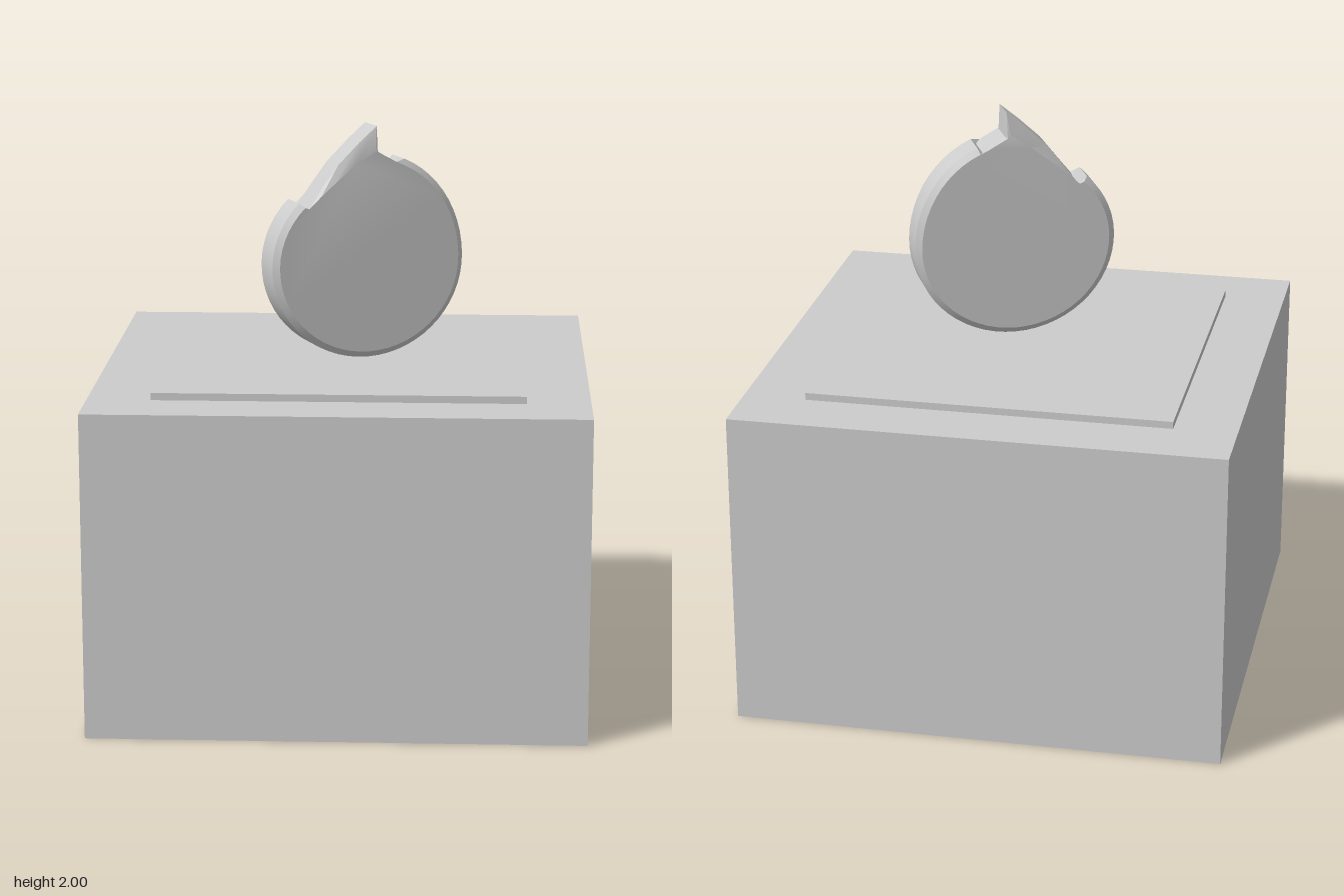
import * as THREE from 'three';
import { toCreasedNormals } from 'three/addons/utils/BufferGeometryUtils.js';

const material = new THREE.MeshStandardMaterial({ color: 0xcccccc });

function block(name, width, height, y) {
  const mesh = new THREE.Mesh(new THREE.BoxGeometry(width, height, width), material);
  mesh.name = name;
  mesh.position.y = y + height / 2;
  return mesh;
}

// Closed outline: notched flame top, then an elliptical belly, then the right notch
function outline(top, inset, right) {
  const points = top.map(([x, y]) => new THREE.Vector2(x, y));
  const start = 2.375, end = Math.PI * 2 + 1.185, steps = 48;
  for (let i = 0; i <= steps; i++) {
    const a = start + ((end - start) * i) / steps;
    const s = Math.sin(a);
    const ry = (s < 0 ? 0.34 : Math.cos(a) < 0 ? 0.325 : 0.388) - inset;
    points.push(new THREE.Vector2(0.025 + (0.362 - inset) * Math.cos(a), 1.52 + ry * s));
  }
  right.forEach(([x, y]) => points.push(new THREE.Vector2(x, y)));
  return points;
}

// Loft of face, wall, wall, face outlines, with flat caps
function flameGeometry() {
  const wall = outline(
    [[0.056, 2], [-0.01, 1.945], [-0.09, 1.87], [-0.149, 1.795], [-0.212, 1.71]],
    0, [[0.142, 1.86], [0.06, 1.91]]);
  const face = outline(
    [[0.047, 1.925], [-0.03, 1.87], [-0.1, 1.815], [-0.16, 1.765], [-0.205, 1.725]],
    0.022, [[0.125, 1.872], [0.055, 1.91]]);
  const layers = [[face, -0.07], [wall, -0.053], [wall, 0.053], [face, 0.07]];
  const n = wall.length, positions = [], index = [];
  for (const [points, z] of layers) for (const p of points) positions.push(p.x, p.y, z);
  for (let k = 0; k < 3; k++) {
    for (let i = 0; i < n; i++) {
      const a = k * n + i, b = k * n + ((i + 1) % n);
      index.push(a, b, b + n, a, b + n, a + n);
    }
  }
  for (const [a, b, c] of THREE.ShapeUtils.triangulateShape(face, [])) {
    index.push(a + 3 * n, b + 3 * n, c + 3 * n, a, c, b);
  }
  const geometry = new THREE.BufferGeometry();
  geometry.setAttribute('position', new THREE.Float32BufferAttribute(positions, 3));
  geometry.setIndex(index);
  return toCreasedNormals(geometry, 0.4);
}

export function createModel() {
  const model = new THREE.Group();
  model.name = 'flamePedestal';

  // Pedestal and thin top plate
  model.add(block('pedestal', 1.71, 1.135, 0));
  model.add(block('topPlate', 1.274, 0.025, 1.135));

  // Turned flame hovering just above the plate
  const flame = new THREE.Mesh(flameGeometry(), material);
  flame.name = 'flame';
  flame.position.set(0.037, 0, 0.08);
  flame.rotation.y = THREE.MathUtils.degToRad(25);
  model.add(flame);

  return model;
}
